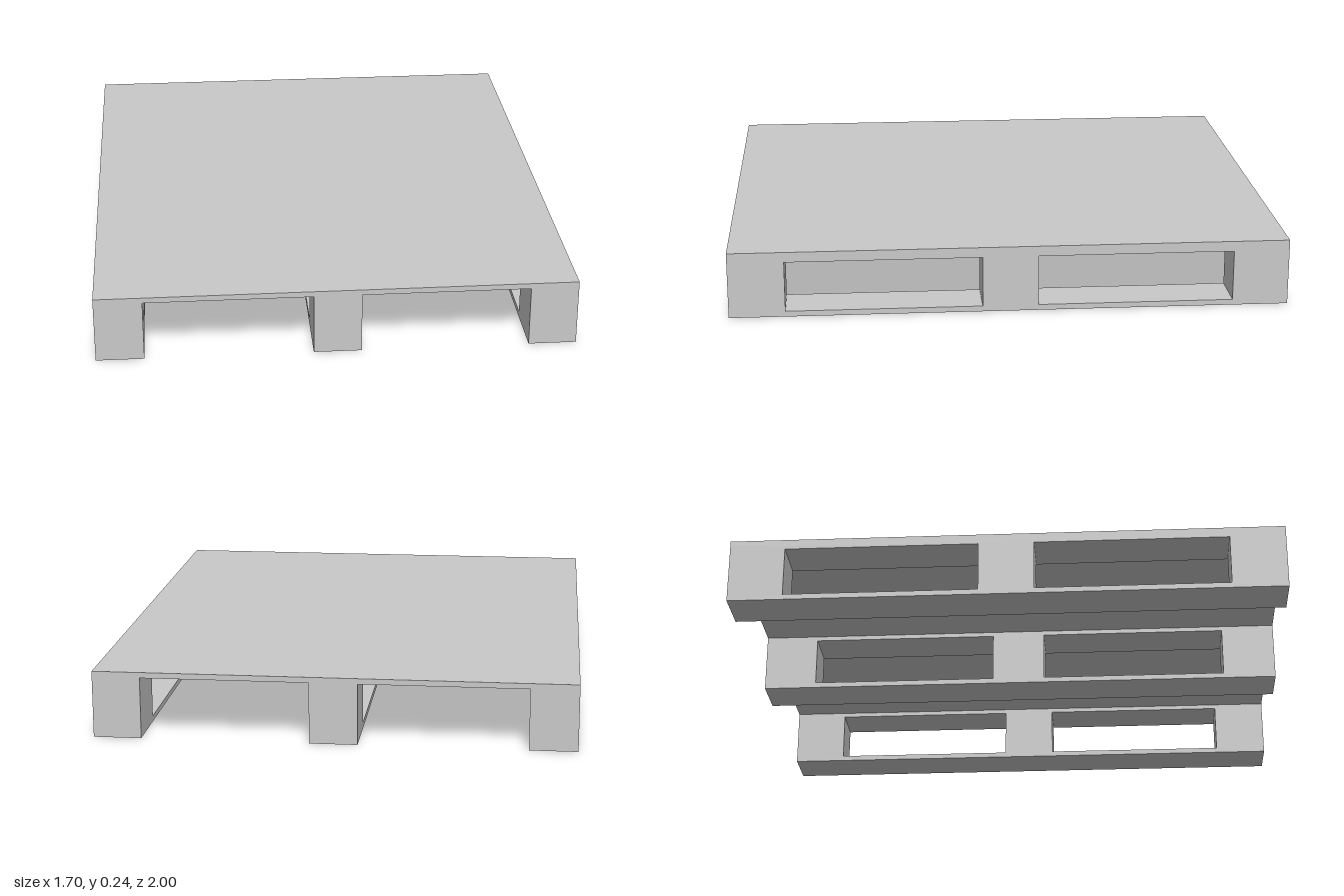
import * as THREE from 'three';

const WIDTH = 1.7, LENGTH = 2, HEIGHT = 0.24;
const DECK = 0.02, RUNNER = 0.17;

// Rectangle outline from corner to corner
function rect(target, x0, y0, x1, y1) {
  target.moveTo(x0, y0);
  target.lineTo(x1, y0);
  target.lineTo(x1, y1);
  target.lineTo(x0, y1);
  target.closePath();
  return target;
}

export function createModel() {
  const group = new THREE.Group();
  group.name = 'pallet';
  const grey = new THREE.MeshStandardMaterial({ color: 0xc8c8c8 });
  grey.name = 'light grey';

  // Solid top deck
  const deck = new THREE.Mesh(new THREE.BoxGeometry(WIDTH, DECK, LENGTH), grey);
  deck.name = 'topDeck';
  deck.position.y = HEIGHT - DECK / 2;
  group.add(deck);

  // Runner side profile: three blocks between a bottom board and a stringer board
  const profile = rect(new THREE.Shape(), -LENGTH / 2, 0, LENGTH / 2, HEIGHT - DECK);
  for (const [a, b] of [[-0.8, -0.1], [0.1, 0.8]]) {
    profile.holes.push(rect(new THREE.Path(), a, 0.02, b, 0.203));
  }
  const runnerGeometry = new THREE.ExtrudeGeometry(profile, { depth: RUNNER, bevelEnabled: false });
  runnerGeometry.translate(0, 0, -RUNNER / 2);
  runnerGeometry.rotateY(Math.PI / 2);

  // Three runners along the length
  const offset = (WIDTH - RUNNER) / 2;
  for (const [name, x] of [['rightRunner', -offset], ['centreRunner', 0], ['leftRunner', offset]]) {
    const runner = new THREE.Mesh(runnerGeometry, grey);
    runner.name = name;
    runner.position.x = x;
    group.add(runner);
  }
  return group;
}
